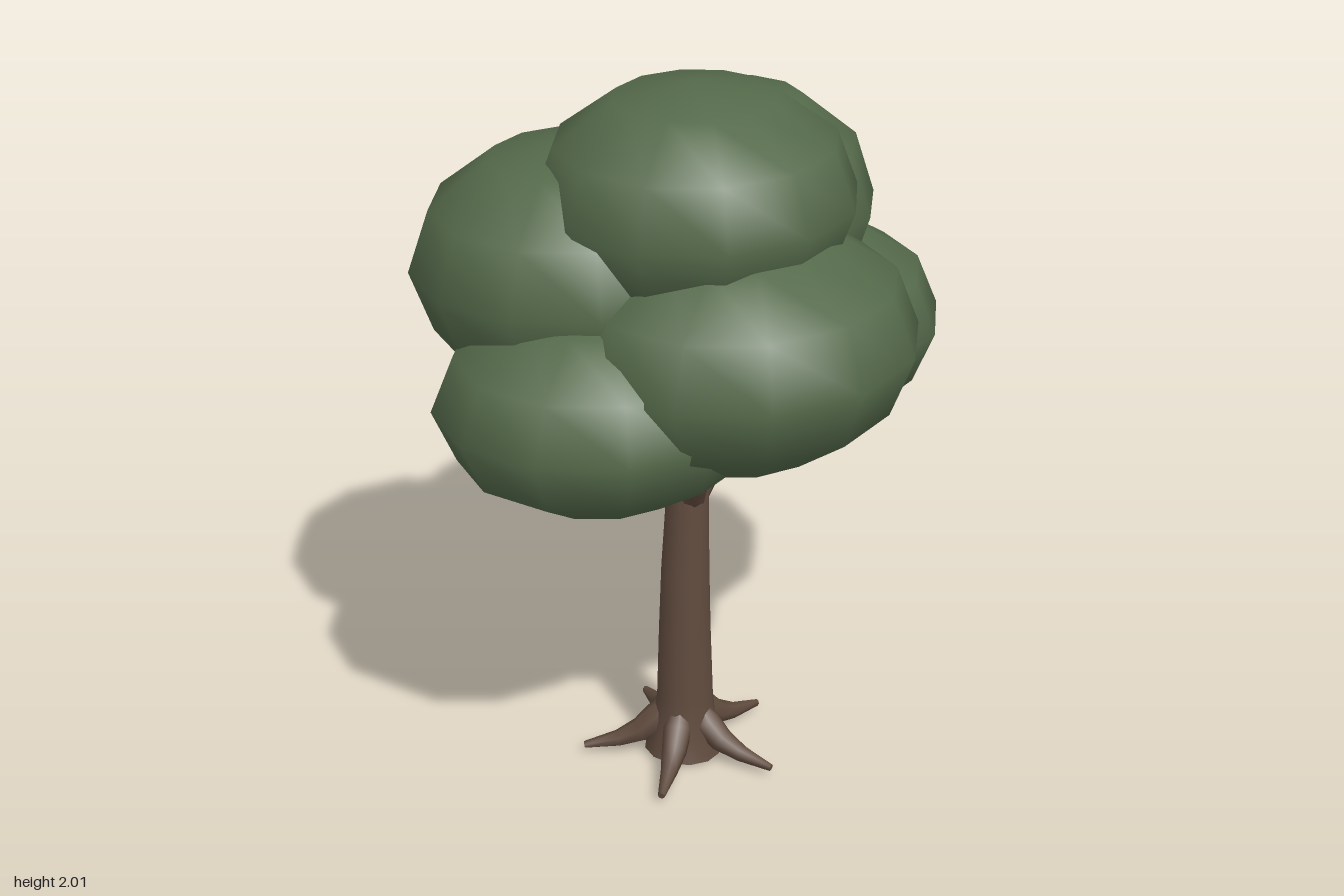
import * as THREE from 'three';

const leafMat = new THREE.MeshStandardMaterial({ color: 0x54694a });
leafMat.name = 'leaf green';
const barkMat = new THREE.MeshStandardMaterial({ color: 0x604b3e });
barkMat.name = 'bark brown';

// Round limb lofted along stations [x, y, z, radius], with flat end caps.
function limb(stations, sides) {
  const pts = stations.map(s => new THREE.Vector3(s[0], s[1], s[2]));
  const n = pts.length;
  const pos = [];
  const index = [];
  const ringAt = i => {
    const t = pts[Math.min(i + 1, n - 1)].clone().sub(pts[Math.max(i - 1, 0)]).normalize();
    const u = new THREE.Vector3(0, 0, 1).addScaledVector(t, -t.z).normalize();
    const v = t.clone().cross(u);
    for (let j = 0; j < sides; j++) {
      const a = (j / sides) * Math.PI * 2;
      const p = pts[i].clone()
        .addScaledVector(u, Math.cos(a) * stations[i][3])
        .addScaledVector(v, Math.sin(a) * stations[i][3]);
      pos.push(p.x, p.y, p.z);
    }
  };
  for (let i = 0; i < n; i++) ringAt(i);
  for (let i = 0; i < n - 1; i++) {
    for (let j = 0; j < sides; j++) {
      const k = (j + 1) % sides;
      const a = i * sides + j, b = i * sides + k;
      const c = b + sides, d = a + sides;
      index.push(a, b, d, b, c, d);
    }
  }
  // Caps use their own vertices so the rims stay sharp
  for (const end of [0, n - 1]) {
    const start = pos.length / 3;
    ringAt(end);
    const centre = pos.length / 3;
    pos.push(...pts[end].toArray());
    for (let j = 0; j < sides; j++) {
      const a = start + j, b = start + ((j + 1) % sides);
      if (end === 0) index.push(centre, b, a);
      else index.push(centre, a, b);
    }
  }
  const geo = new THREE.BufferGeometry();
  geo.setAttribute('position', new THREE.Float32BufferAttribute(pos, 3));
  geo.setIndex(index);
  geo.computeVertexNormals();
  return geo;
}

export function createModel() {
  const tree = new THREE.Group();
  tree.name = 'tree';
  const add = (name, geo, mat) => {
    const mesh = new THREE.Mesh(geo, mat);
    mesh.name = name;
    tree.add(mesh);
    return mesh;
  };

  // Trunk, flared at the ground and leaning slightly
  add('trunk', limb([
    [-0.075, 0, 0, 0.11],
    [-0.07, 0.06, 0, 0.095],
    [-0.065, 0.18, 0, 0.081],
    [-0.065, 0.4, 0, 0.074],
    [-0.062, 0.6, 0, 0.068],
    [-0.053, 0.82, 0, 0.06],
    [-0.045, 1.2, 0, 0.045],
  ], 12), barkMat);

  // Five roots spread evenly around the base
  const rootGeo = limb([
    [0.045, 0.15, 0, 0.025],
    [0.075, 0.105, 0, 0.042],
    [0.125, 0.06, 0, 0.036],
    [0.19, 0.035, 0, 0.024],
    [0.287, 0.019, 0, 0.01],
  ], 7);
  for (let i = 0; i < 5; i++) {
    const root = add('root' + (i + 1), rootGeo, barkMat);
    root.position.x = -0.07;
    root.rotation.y = -i * Math.PI * 2 / 5;
  }

  // Three branches reaching up into the crown
  const branchGeo = limb([
    [0, 0.79, 0, 0.042],
    [0.1, 0.91, 0, 0.036],
    [0.27, 1.14, 0, 0.026],
  ], 8);
  for (let i = 0; i < 3; i++) {
    const branch = add('branch' + (i + 1), branchGeo, barkMat);
    branch.position.x = -0.045;
    branch.rotation.y = -i * Math.PI * 2 / 3;
  }

  // Overlapping leaf clumps: name, centre, radii
  const clumpGeo = new THREE.SphereGeometry(1, 12, 6);
  const clumps = [
    ['topLeaves', [-0.04, 1.69, 0.02], [0.435, 0.31, 0.42]],
    ['frontLeaves', [-0.04, 1.34, 0.2], [0.495, 0.325, 0.44]],
    ['rightLeaves', [-0.335, 1.21, 0], [0.465, 0.29, 0.43]],
    ['leftLeaves', [0.325, 1.22, -0.04], [0.465, 0.29, 0.425]],
    ['backLeftLeaves', [0.24, 1.54, -0.17], [0.43, 0.345, 0.39]],
    ['backRightLeaves', [-0.25, 1.5, -0.215], [0.445, 0.335, 0.43]],
  ];
  for (const [name, centre, radii] of clumps) {
    const clump = add(name, clumpGeo, leafMat);
    clump.position.set(...centre);
    clump.scale.set(...radii);
  }

  return tree;
}
